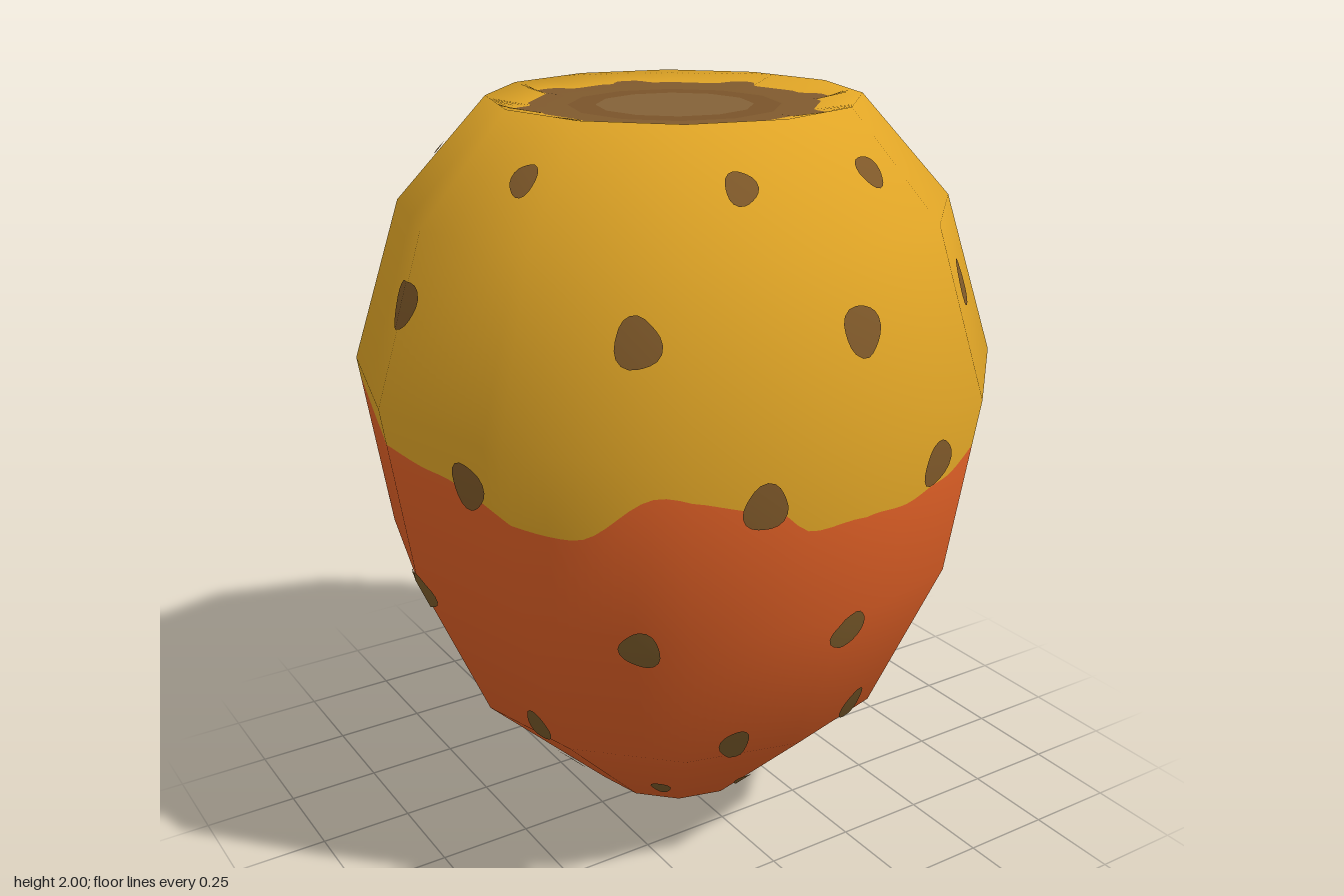
import * as THREE from 'three';

const RAD = Math.PI / 180, STEPS = 180;

// Outline of the shell: radius, height, tilt of the surface normal in degrees
const PROFILE = [
  [0, 0, -90], [0.24, 0.08, -59], [0.59, 0.42, -35], [0.775, 0.85, -15],
  [0.845, 1.32, 5], [0.71, 1.74, 30], [0.475, 2, 62],
];

// Wavy colour border: angle around the shell, height
const BORDER = [
  [0, 1.14], [12, 1.12], [22, 1.14], [37, 1.25], [55, 1.11], [67, 1.16], [77, 1.18], [91, 1.19],
  [111, 1.25], [124, 1.2], [147, 1.26], [162, 1.23], [178, 1.2], [196, 1.24], [215, 1.24],
  [238, 1.27], [263, 1.24], [282, 1.2], [310, 1.11], [326, 1.24], [343, 1.19], [351, 1.12], [360, 1.14],
];

const mat = (name, color) => {
  const m = new THREE.MeshStandardMaterial({ color });
  m.name = name;
  return m;
};

// Profile entry at a given height
function atHeight(y) {
  let i = 0;
  while (i < PROFILE.length - 2 && y > PROFILE[i + 1][1]) i++;
  const a = PROFILE[i], b = PROFILE[i + 1], t = (y - a[1]) / (b[1] - a[1]);
  return [0, 1, 2].map((k) => a[k] + (b[k] - a[k]) * t);
}

function borderHeight(deg) {
  let i = 0;
  while (i < BORDER.length - 2 && deg > BORDER[i + 1][0]) i++;
  const a = BORDER[i], b = BORDER[i + 1];
  const t = (deg - a[0]) / (b[0] - a[0]);
  return a[1] + (b[1] - a[1]) * (1 - Math.cos(Math.PI * t)) / 2;
}

// Uneven outline of the brown top patch, with eight bumps
function patchRadius(deg) {
  let r = 0.37;
  for (const c of [28, 75, 120, 166, 204, 256, 300, 345]) {
    const d = ((deg - c + 540) % 360) - 180;
    r += 0.055 * Math.exp(-((d / 7) ** 4));
  }
  return r;
}

// Places a profile entry on the twelve-sided shell
function place(deg, [r, y, tilt], lift, pos, nor) {
  const a = deg * RAD, local = (((deg % 30) + 30) % 30) - 15;
  const pr = r * Math.cos(15 * RAD) / Math.cos(local * RAD);
  const c = Math.cos(tilt * RAD);
  const n = [Math.sin(a) * c, Math.sin(tilt * RAD), Math.cos(a) * c];
  pos.push(Math.sin(a) * pr + n[0] * lift, y + n[1] * lift, Math.cos(a) * pr + n[2] * lift);
  nor.push(...n);
}

function toMesh(name, material, pos, nor, index) {
  const g = new THREE.BufferGeometry();
  g.setAttribute('position', new THREE.Float32BufferAttribute(pos, 3));
  g.setAttribute('normal', new THREE.Float32BufferAttribute(nor, 3));
  g.setIndex(index);
  const mesh = new THREE.Mesh(g, material);
  mesh.name = name;
  return mesh;
}

// Band of surface around the shell; each row gives a profile entry per angle
function band(name, material, rows) {
  const pos = [], nor = [], index = [], w = STEPS + 1;
  rows.forEach((row, j) => {
    for (let i = 0; i <= STEPS; i++) {
      const deg = i * 360 / STEPS;
      place(deg, typeof row === 'function' ? row(deg) : row, 0, pos, nor);
      if (j && i < STEPS) {
        const a = (j - 1) * w + i, d = j * w + i;
        index.push(a, a + 1, d + 1, a, d + 1, d);
      }
    }
  });
  return toMesh(name, material, pos, nor, index);
}

// Thin, slightly irregular spot that follows the shell
function spot(material, deg, y, w, h, seed) {
  const pos = [], nor = [], index = [], n = 20, rings = 4;
  const r0 = atHeight(y)[0];
  for (let k = 0; k <= rings; k++) {
    for (let i = 0; i <= n; i++) {
      const a = i / n * Math.PI * 2;
      const s = k / rings * (1 + 0.08 * Math.sin(3 * a + seed));
      const dy = Math.sin(a) * h * s;
      place(deg + Math.cos(a) * w * s / r0 / RAD, atHeight(y + dy), 0.005, pos, nor);
      if (k && i < n) {
        const p = (k - 1) * (n + 1) + i, q = p + n + 1;
        index.push(p, q, q + 1, p, q + 1, p + 1);
      }
    }
  }
  return toMesh('spot', material, pos, nor, index);
}

export function createModel() {
  const yellow = mat('golden yellow', 0xe0a526);
  const orange = mat('burnt orange', 0xe06026);
  const brown = mat('top brown', 0x805a2e);
  const ringBrown = mat('ring brown', 0x7a542a);
  const paleBrown = mat('centre brown', 0x846238);
  const spotBrown = mat('spot brown', 0x7e5829);
  const spotOlive = mat('spot olive', 0x7c5c2b);
  const tipBrown = mat('tip brown', 0x665028);

  const model = new THREE.Group();
  model.name = 'spottedShell';

  const border = (deg) => atHeight(borderHeight(deg));
  const patchEdge = (deg) => [patchRadius(deg), 1.98, 88];

  // Shell from the bottom tip up to the centre of the top
  model.add(
    band('bottomTip', tipBrown, [PROFILE[0], atHeight(0.046)]),
    band('lowerShell', orange, [atHeight(0.046), ...PROFILE.slice(1, 4), border]),
    band('upperShell', yellow, [border, ...PROFILE.slice(4), patchEdge]),
    band('topPatch', brown, [patchEdge, [0.27, 1.975, 90]]),
    band('topRing', ringBrown, [[0.27, 1.975, 90], [0.2, 1.975, 90]]),
    band('topCentre', paleBrown, [[0.2, 1.975, 90], [0, 1.975, 90]]),
  );

  // Staggered rows of seven spots: height, half width, half height, angles
  const even = [19, 69.5, 122, 179, 237, 291, 342];
  const odd = [1, 39.5, 90, 146, 212.5, 270, 321];
  const spots = new THREE.Group();
  spots.name = 'spots';
  [
    [1.87, 0.04, 0.033, even, spotBrown], [1.57, 0.055, 0.056, odd, spotBrown],
    [1.2, 0.055, 0.06, even, spotBrown], [0.82, 0.052, 0.055, odd, spotOlive],
    [0.465, 0.04, 0.05, even, spotOlive], [0.185, 0.027, 0.038, odd, spotOlive],
  ].forEach(([y, w, h, angles, m], j) => {
    angles.forEach((deg, i) => spots.add(spot(m, deg, y, w, h, i * 2.3 + j)));
  });
  model.add(spots);
  return model;
}
